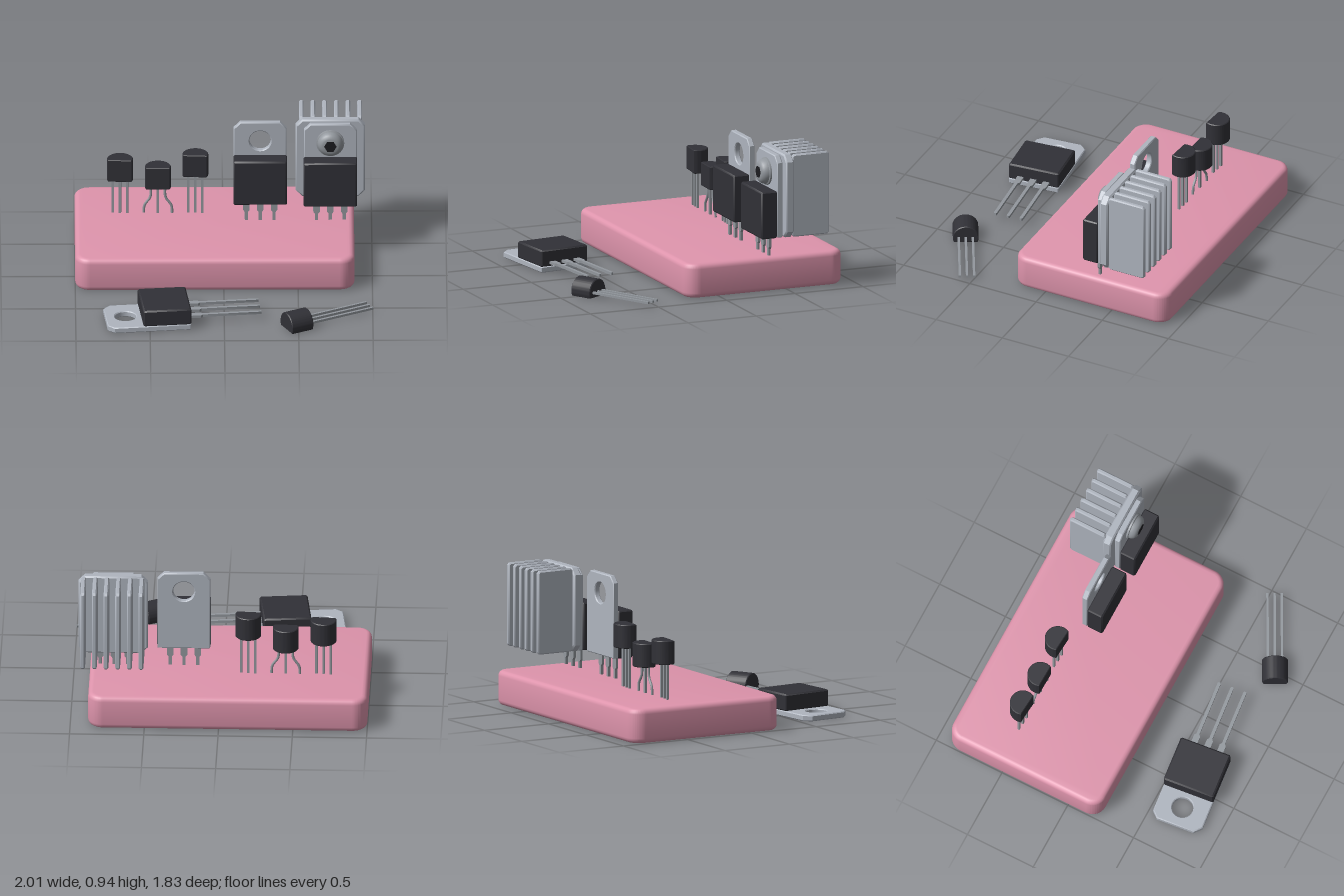
import * as THREE from 'three';
import { toCreasedNormals } from 'three/addons/utils/BufferGeometryUtils.js';

const mat = (name, color) => Object.assign(new THREE.MeshStandardMaterial({ color }), { name });

export function createModel() {
  const foam = mat('pink foam', 0xde94ac);
  const plastic = mat('black plastic', 0x313137);
  const metal = mat('bright metal', 0xafb5bf);
  const wire = mat('lead metal', 0x93989e);
  const dark = mat('socket black', 0x1c1c20);
  const root = new THREE.Group();

  function add(parent, name, geo, material, x = 0, y = 0, z = 0) {
    const m = new THREE.Mesh(geo, material);
    m.name = name;
    m.position.set(x, y, z);
    parent.add(m);
    return m;
  }
  const polygon = pts => new THREE.Shape(pts.map(p => new THREE.Vector2(p[0], p[1])));
  // Rectangle with cut corners: c at the bottom, t at the top
  const cutRect = (x0, y0, x1, y1, c, t = c) => polygon([
    [x0 + c, y0], [x1 - c, y0], [x1, y0 + c], [x1, y1 - t],
    [x1 - t, y1], [x0 + t, y1], [x0, y1 - t], [x0, y0 + c]]);
  // Bevelled slab between z0 and z1, keeping the outline's full size
  function slab(shape, z0, z1, bevel, segments = 1) {
    const g = new THREE.ExtrudeGeometry(shape, {
      depth: z1 - z0 - 2 * bevel, bevelEnabled: bevel > 0, bevelThickness: bevel,
      bevelSize: bevel, bevelOffset: -bevel, bevelSegments: segments, curveSegments: 24 });
    return toCreasedNormals(g.translate(0, 0, z0 + bevel), 0.6);
  }
  // Lays a part down, leads pointing along the angle; face is its local z in the world
  function lay(group, angle, face) {
    const up = new THREE.Vector3(-Math.cos(angle), 0, Math.sin(angle));
    const fz = new THREE.Vector3(0, face, 0);
    const side = new THREE.Vector3().crossVectors(up, fz);
    group.quaternion.setFromRotationMatrix(new THREE.Matrix4().makeBasis(side, up, fz));
  }

  // Foam block
  const base = new THREE.Shape(), hw = 0.94, hd = 0.578, r = 0.1;
  base.absarc(hw - r, hd - r, r, 0, Math.PI / 2);
  base.absarc(-hw + r, hd - r, r, Math.PI / 2, Math.PI);
  base.absarc(-hw + r, -hd + r, r, Math.PI, Math.PI * 1.5);
  base.absarc(hw - r, -hd + r, r, Math.PI * 1.5, Math.PI * 2);
  add(root, 'foamBlock', slab(base, 0, 0.235, 0.035, 4).rotateX(-Math.PI / 2), foam, -0.06, 0, -0.342);

  // Small round-backed transistor, flat face to +z, leads hanging from y = 0
  function smallTransistor(name, leadLength, splayed) {
    const g = new THREE.Group();
    g.name = name;
    const R = 0.087, a = Math.asin(0.036 / R);
    const outline = new THREE.Shape();
    outline.absarc(0, 0, R, -a, Math.PI + a);
    outline.closePath();
    add(g, 'smallBody', slab(outline, 0, 0.162, 0.005).rotateX(-Math.PI / 2), plastic);
    for (const s of [-1, 0, 1]) {
      if (splayed && s) {
        const pts = [[0.048, 0.01], [0.048, -0.05], [0.054, -0.075], [0.088, -0.125],
          [0.094, -0.15], [0.094, -leadLength]];
        const path = new THREE.CatmullRomCurve3(pts.map(p => new THREE.Vector3(s * p[0], p[1], 0)));
        add(g, 'bentLead', new THREE.TubeGeometry(path, 32, 0.009, 8), wire);
      } else {
        add(g, 'thinLead', new THREE.BoxGeometry(0.016, leadLength, 0.016), wire, s * 0.048, -leadLength / 2, 0);
      }
    }
    root.add(g);
    return g;
  }
  [[-0.695, 0.478, -0.08, false], [-0.44, 0.42, -0.03, true], [-0.188, 0.512, -0.07, false]]
    .forEach(([x, y, yaw, splayed]) => {
      const t = smallTransistor('smallTransistor', y - 0.1, splayed);
      t.position.set(x, y, -0.503);
      t.rotation.y = yaw;
    });
  const looseSmall = smallTransistor('looseSmallTransistor', 0.475, false);
  looseSmall.position.set(0.56, 0.036, 0.755);
  lay(looseSmall, 0.49, -1);

  // Power transistor: back of the tab on z = 0, leads hanging from y = 0
  function powerTransistor(name, leadLength) {
    const g = new THREE.Group();
    g.name = name;
    const tab = cutRect(-0.178, 0, 0.178, 0.56, 0.005, 0.045);
    const hole = new THREE.Path();
    hole.absarc(0, 0.425, 0.072, 0, Math.PI * 2, true);
    tab.holes.push(hole);
    add(g, 'metalTab', slab(tab, 0, 0.041, 0.006), metal);
    add(g, 'powerBody', slab(cutRect(-0.18, -0.002, 0.18, 0.322, 0.008), 0.038, 0.155, 0.01), plastic);
    const L = -leadLength;
    const lead = polygon([[-0.011, L + 0.008], [-0.006, L], [0.006, L], [0.011, L + 0.008],
      [0.011, -0.09], [0.022, -0.075], [0.022, 0.01], [-0.022, 0.01], [-0.022, -0.075], [-0.011, -0.09]]);
    for (const s of [-1, 0, 1]) add(g, 'flatLead', slab(lead, 0.056, 0.074, 0), wire, s * 0.093);
    root.add(g);
    return g;
  }
  powerTransistor('powerTransistor', 0.3).position.set(0.248, 0.385, -0.455);
  const cooled = powerTransistor('cooledTransistor', 0.3);
  cooled.position.set(0.72, 0.37, -0.455);
  const loosePower = powerTransistor('loosePowerTransistor', 0.487);
  loosePower.position.set(-0.243, 0, 0.652);
  lay(loosePower, 0.108, 1);

  // Heat sink with six fins
  const sink = new THREE.Group();
  sink.name = 'heatSink';
  root.add(sink);
  add(sink, 'sinkPlate', slab(cutRect(0.487, 0.372, 0.955, 0.943, 0.045), -0.517, -0.457, 0.01), metal);
  const fin = slab(cutRect(0.51, 0.374, 0.783, 0.943, 0.015), -0.016, 0.016, 0.008).rotateY(Math.PI / 2);
  for (let i = 0; i < 6; i++) add(sink, 'fin', fin, metal, 0.526 + i * 0.0786);

  // Screw through the tab
  const screw = new THREE.Group();
  screw.name = 'screw';
  screw.position.set(0.72, 0.795, -0.416);
  root.add(screw);
  const profile = [[0, -0.05], [0.065, -0.05], [0.065, 0], [0.094, 0], [0.094, 0.014], [0.086, 0.018],
    [0.083, 0.034], [0.074, 0.05], [0.062, 0.06], [0.05, 0.064], [0, 0.064]];
  const head = new THREE.LatheGeometry(profile.map(p => new THREE.Vector2(p[0], p[1])), 32);
  add(screw, 'screwHead', toCreasedNormals(head.rotateX(Math.PI / 2), 0.6), wire);
  const socket = new THREE.CylinderGeometry(0.042, 0.042, 0.004, 6).rotateY(Math.PI / 6).rotateX(Math.PI / 2);
  add(screw, 'hexSocket', toCreasedNormals(socket, 0.3), dark, 0, 0, 0.065);

  return root;
}
